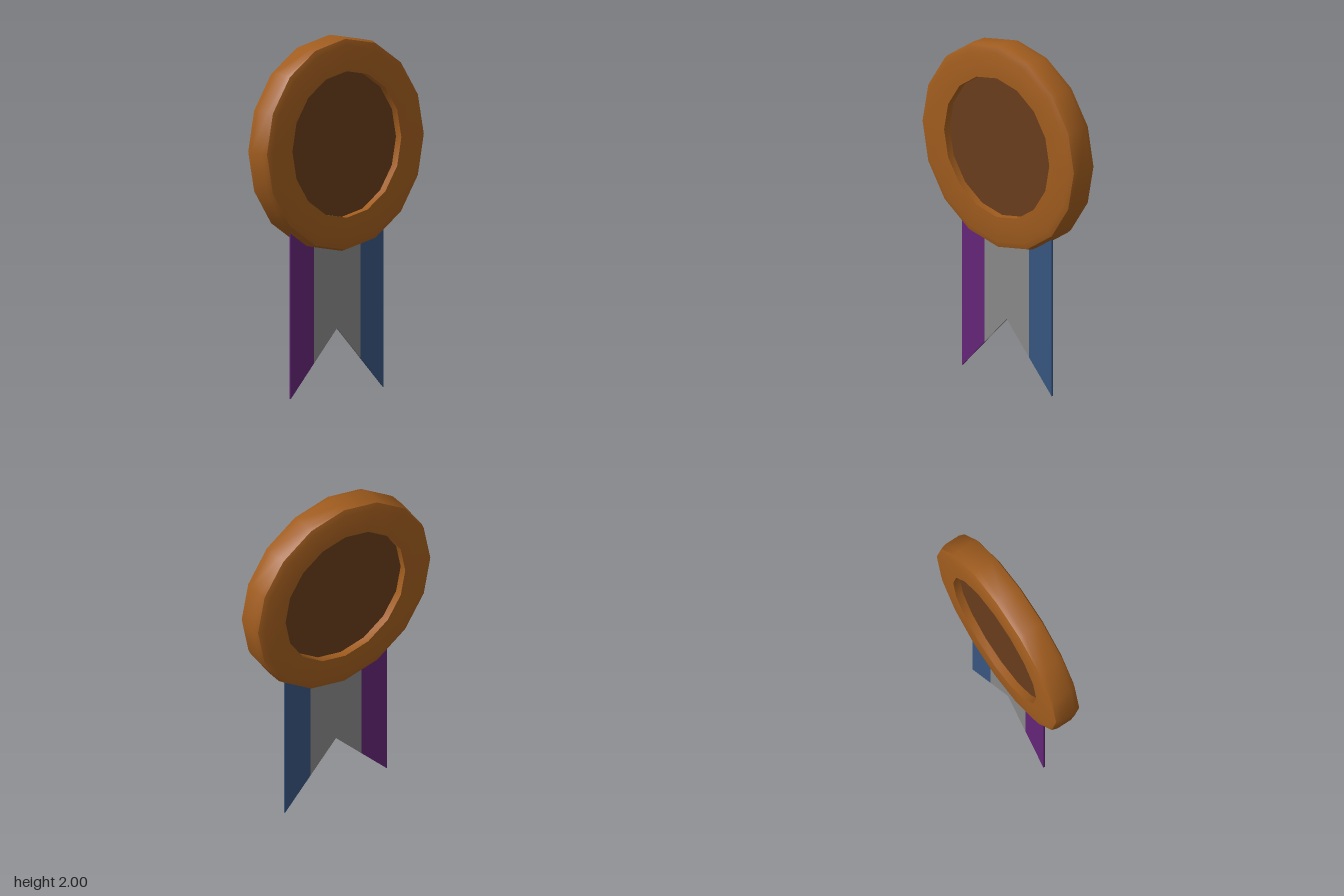
import * as THREE from 'three';
import { toCreasedNormals } from 'three/addons/utils/BufferGeometryUtils.js';

const SIDES = 16;
const CENTRE_Y = 1.4;

function part(name, geometry, color) {
  const mesh = new THREE.Mesh(geometry, new THREE.MeshStandardMaterial({ color }));
  mesh.name = name;
  return mesh;
}

// Raised rim: bevelled section, mirrored front to back, turned to face +z
function rimGeometry() {
  const half = [[0.6, 0.045], [0.59, 0.077], [0.555, 0.089], [0.41, 0.089], [0.41, 0.045]];
  const back = half.map(([r, h]) => [r, -h]).reverse();
  const points = [...back, ...half].map(([r, h]) => new THREE.Vector2(r, h));
  const geometry = new THREE.LatheGeometry(points, SIDES).rotateX(Math.PI / 2);
  return toCreasedNormals(geometry, 0.6);
}

// One lengthwise ribbon stripe, its lower end cut along the V notch
function stripeGeometry(x0, x1) {
  const top = 1.1;
  const cut = (x) => 0.365 * (1 - Math.abs(x) / 0.35);
  const outline = [[x0, cut(x0)]];
  if (x0 < 0 && x1 > 0) outline.push([0, cut(0)]);
  outline.push([x1, cut(x1)], [x1, top], [x0, top]);
  const shape = new THREE.Shape(outline.map(([x, y]) => new THREE.Vector2(x, y)));
  return new THREE.ExtrudeGeometry(shape, { depth: 0.01, bevelEnabled: false });
}

export function createModel() {
  const model = new THREE.Group();
  model.name = 'rosetteMedal';

  // Medal with a recessed face on both sides
  const medal = new THREE.Group();
  medal.name = 'medal';
  medal.position.y = CENTRE_Y;
  const disc = new THREE.CylinderGeometry(0.41, 0.41, 0.09, SIDES).rotateX(Math.PI / 2);
  medal.add(part('rim', rimGeometry(), 0xa05c1e), part('recessedFace', disc, 0x683c1b));
  model.add(medal);

  // Three-colour ribbon
  const ribbon = new THREE.Group();
  ribbon.name = 'ribbon';
  const stripes = [
    ['rightStripe', -0.35, -0.175, 0x642578],
    ['middleStripe', -0.175, 0.175, 0x888888],
    ['leftStripe', 0.175, 0.35, 0x37557f],
  ];
  for (const [name, x0, x1, color] of stripes) ribbon.add(part(name, stripeGeometry(x0, x1), color));
  model.add(ribbon);

  return model;
}
